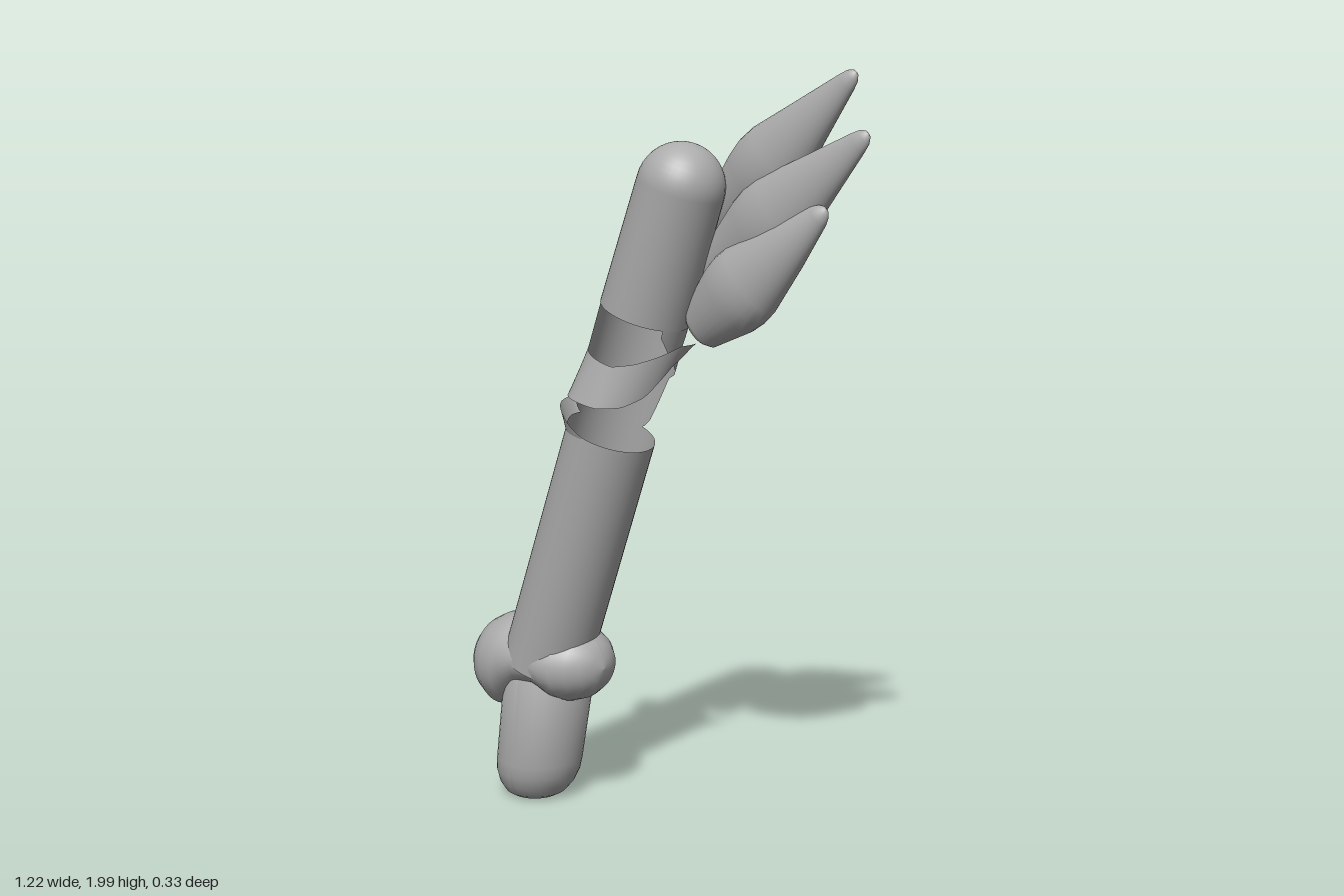
import * as THREE from 'three';

const material = new THREE.MeshStandardMaterial({ color: 0xacacac, side: THREE.DoubleSide });
material.name = 'plain grey';
const RAD = Math.PI / 180;
const V = (x, y, z) => new THREE.Vector3(x, y, z);

function mesh(name, geometry, parent) {
  const m = new THREE.Mesh(geometry, material);
  m.name = name;
  parent.add(m);
  return m;
}

// Linear lookup in rows of [key, a, b, ...]
function lookup(rows, k) {
  let i = 0;
  while (i < rows.length - 2 && k > rows[i + 1][0]) i++;
  const a = rows[i], b = rows[i + 1];
  const f = THREE.MathUtils.clamp((k - a[0]) / (b[0] - a[0]), 0, 1);
  return a.slice(1).map((v, j) => v + (b[j + 1] - v) * f);
}

// Surface from a rule point(u, v), with u and v from 0 to 1
function surface(point, n, m) {
  const pos = [], idx = [];
  for (let i = 0; i <= n; i++) {
    for (let j = 0; j <= m; j++) pos.push(...point(i / n, j / m));
  }
  for (let i = 0; i < n; i++) {
    for (let j = 0; j < m; j++) {
      const a = i * (m + 1) + j, b = a + m + 1;
      idx.push(a, a + 1, b, b, a + 1, b + 1);
    }
  }
  const g = new THREE.BufferGeometry();
  g.setAttribute('position', new THREE.Float32BufferAttribute(pos, 3));
  g.setIndex(idx);
  g.computeVertexNormals();
  return g;
}

// Curved wall round the shaft: rows of [angle, low, high, lowRadius, highRadius]
function wall(rows, a0 = rows[0][0], a1 = rows[rows.length - 1][0], n = 40) {
  return surface((u, v) => {
    const a = a0 + (a1 - a0) * u;
    const [lo, hi, r0, r1] = lookup(rows, a);
    const r = r0 + (r1 - r0) * v;
    return [r * Math.cos(a * RAD), lo + (hi - lo) * v, r * Math.sin(a * RAD)];
  }, n, 8);
}

const lathe = (pts, seg = 40) =>
  new THREE.LatheGeometry(pts.map(([r, y]) => new THREE.Vector2(r, y)), seg);

// Flattened spindle from base to tip
function feather(name, base, tip, width, depth, profile, parent) {
  const dir = tip.clone().sub(base), len = dir.length();
  dir.normalize();
  const side = V(dir.y, -dir.x, 0).normalize();
  const out = side.clone().cross(dir);
  const m = mesh(name, lathe(profile.map(([r, t]) => [r, t * len]), 28), parent);
  m.quaternion.setFromRotationMatrix(new THREE.Matrix4().makeBasis(side, dir, out));
  m.position.copy(base);
  m.scale.set(width, 1, depth);
}

export function createModel() {
  const model = new THREE.Group();
  model.name = 'wingedArm';

  // Lower stub, leaning but flat underneath
  const stub = lathe([[0, 0], [0.065, 0], [0.085, 0.012], [0.105, 0.04],
    [0.117, 0.075], [0.12, 0.11], [0.126, 0.36], [0, 0.4]]);
  const p = stub.attributes.position;
  for (let i = 0; i < p.count; i++) p.setX(i, p.getX(i) + 0.16 * p.getY(i));
  stub.computeVertexNormals();
  mesh('lowerStub', stub, model).position.set(-0.443, 0, -0.02);

  // Two-lobed joint: [x, centre height, half height, half depth]
  const lobes = [[-0.617, 0.38, 0, 0], [-0.61, 0.38, 0.043, 0.043], [-0.59, 0.38, 0.082, 0.082],
    [-0.56, 0.38, 0.111, 0.111], [-0.52, 0.38, 0.132, 0.131], [-0.48, 0.388, 0.132, 0.137],
    [-0.45, 0.405, 0.115, 0.137], [-0.4, 0.415, 0.086, 0.136], [-0.35, 0.42, 0.085, 0.135],
    [-0.3, 0.411, 0.1, 0.132], [-0.27, 0.411, 0.104, 0.125], [-0.23, 0.411, 0.09, 0.103],
    [-0.2, 0.411, 0.066, 0.075], [-0.183, 0.411, 0.038, 0.04], [-0.175, 0.411, 0, 0]];
  mesh('joint', surface((u, v) => {
    const [x, cy, ry, rz] = lobes[Math.round(u * (lobes.length - 1))];
    const a = v * Math.PI * 2;
    return [x, cy + ry * Math.cos(a), -0.01 + rz * Math.sin(a)];
  }, lobes.length - 1, 40), model);

  // Leaning hollow shaft; heights below run along its axis
  const shaft = new THREE.Group();
  shaft.name = 'shaft';
  shaft.position.set(-0.37, 0.4, 0.008);
  shaft.rotation.z = -Math.atan2(0.338, 0.941);
  model.add(shaft);
  mesh('lowerTube', lathe([[0.12, 0], [0.118, 0.71]]), shaft);

  // Upper tube with a domed end
  const dome = [[0.118, 1.05]];
  for (let i = 0; i <= 10; i++) {
    const a = i * 9 * RAD;
    dome.push([0.112 * Math.cos(a), 1.39 + 0.112 * Math.sin(a)]);
  }
  mesh('upperTube', lathe(dome), shaft);

  // Rear wall of the broken section, with a round hole
  const R = 0.116;
  const rear = [[140, 0.98, 1.06, R, R], [150, 0.8, 1.06, R, R], [165, 0.74, 1.06, R, R],
    [180, 0.71, 1.06, R, R], [275, 0.71, 1.06, R, R], [284, 0.74, 1.06, R, R],
    [291, 0.8, 1.06, R, R], [300, 0.88, 1.06, R, R], [330, 0.92, 1.06, R, R],
    [360, 0.97, 1.06, R, R], [385, 1.03, 1.06, R, R]];
  const hole = { angle: 314, half: 18, height: 0.985 };
  const h0 = hole.angle - hole.half, h1 = hole.angle + hole.half;
  mesh('rearWall', wall(rear, 140, h0), shaft);
  mesh('rightWall', wall(rear, h1, 385), shaft);
  for (const sign of [-1, 1]) {
    const edge = [];
    for (let i = 0; i <= 16; i++) {
      const k = -Math.cos(i / 16 * Math.PI);
      const a = hole.angle + k * hole.half;
      const cut = hole.height + sign * 0.037 * Math.sqrt(Math.max(0, 1 - k * k));
      const [lo, hi] = lookup(rear, a);
      edge.push(sign < 0 ? [a, lo, cut, R, R] : [a, cut, hi, R, R]);
    }
    mesh(sign < 0 ? 'wallBelowHole' : 'wallAboveHole', wall(edge), shaft);
  }

  // Flared band sweeping across the front
  mesh('frontBand', wall([[-8, 1.02, 1.035, 0.155, 0.165], [10, 0.97, 1.03, 0.15, 0.16],
    [30, 0.88, 0.99, 0.146, 0.148], [50, 0.84, 0.955, 0.148, 0.135], [75, 0.815, 0.925, 0.152, 0.122],
    [110, 0.8, 0.92, 0.15, 0.118], [140, 0.785, 0.92, 0.132, 0.116],
    [175, 0.77, 0.92, 0.117, 0.116]]), shaft);

  // Curled lip at the top of the lower tube
  mesh('curledLip', wall([[90, 0.705, 0.712, 0.118, 0.12], [130, 0.69, 0.73, 0.118, 0.135],
    [160, 0.685, 0.735, 0.118, 0.155], [185, 0.685, 0.735, 0.118, 0.165],
    [205, 0.7, 0.715, 0.118, 0.13]]), shaft);

  // Three feathers behind the shaft
  const wing = new THREE.Group();
  wing.name = 'wing';
  model.add(wing);
  const slim = [[0, -0.04], [0.18, -0.025], [0.3, 0.01], [0.62, 0.18], [0.94, 0.39], [1, 0.46],
    [0.96, 0.54], [0.6, 0.76], [0.27, 0.965], [0.2, 1], [0.1, 1.02], [0, 1.026]];
  const blunt = [[0, -0.04], [0.45, -0.035], [0.62, 0], [0.95, 0.24], [1, 0.33],
    [0.97, 0.42], [0.64, 0.7], [0.29, 0.96], [0.2, 1], [0.1, 1.02], [0, 1.026]];
  feather('upperFeather', V(0.05, 1.56, -0.115), V(0.53, 1.975, -0.1), 0.1, 0.066, slim, wing);
  feather('middleFeather', V(0.07, 1.44, -0.075), V(0.59, 1.835, -0.065), 0.107, 0.064, slim, wing);
  feather('lowerFeather', V(0.13, 1.36, -0.04), V(0.495, 1.66, -0.04), 0.105, 0.07, blunt, wing);
  return model;
}
